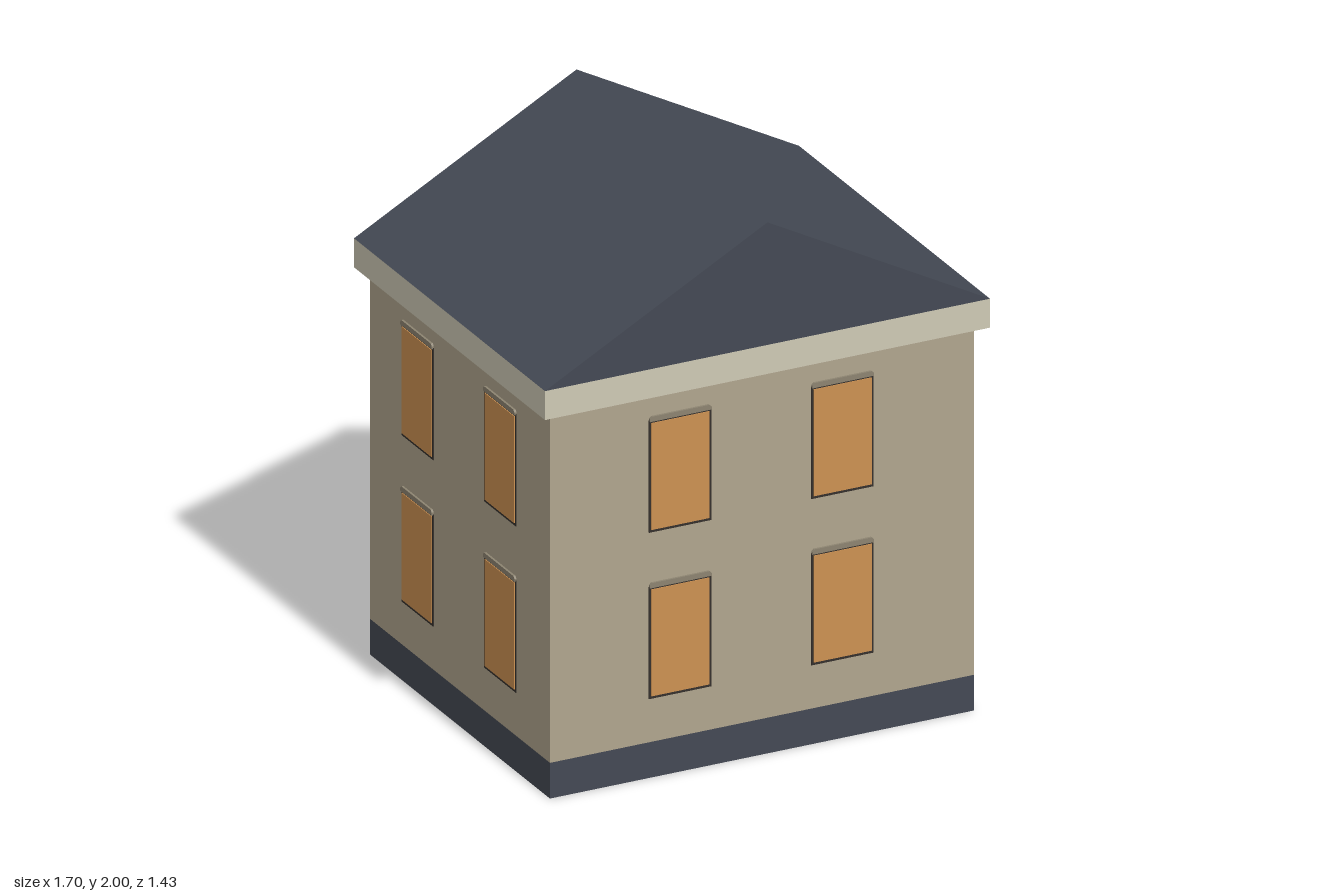
import * as THREE from 'three';

const material = (name, color) => {
  const m = new THREE.MeshStandardMaterial({ color });
  m.name = name;
  return m;
};

export function createModel() {
  const house = new THREE.Group();
  house.name = 'house';
  const stone = material('stone wall', 0xb0a58e);
  const cream = material('cream cornice', 0xcfcab5);
  const slate = material('dark slate', 0x444954);
  const amber = material('amber pane', 0xcc9152);
  const dark = material('dark frame', 0x35302c);
  const lintelTone = material('lintel stone', 0x8d8471);

  const W = 0.81, D = 0.675; // wall half width and half depth

  const add = (parent, name, geometry, mat) => {
    const mesh = new THREE.Mesh(geometry, mat);
    mesh.name = name;
    parent.add(mesh);
    return mesh;
  };
  // Box between two heights, given half sizes
  const slab = (name, hx, hz, y0, y1, mat) => {
    add(house, name, new THREE.BoxGeometry(2 * hx, y1 - y0, 2 * hz), mat)
      .position.y = (y0 + y1) / 2;
  };

  slab('plinth', W, D, 0, 0.133, slate);
  slab('walls', W, D, 0.133, 1.435, stone);
  slab('cornice', 0.85, 0.716, 1.435, 1.543, cream);

  // Gabled roof prism
  const gable = new THREE.Shape([
    new THREE.Vector2(-0.85, 1.543),
    new THREE.Vector2(0.85, 1.543),
    new THREE.Vector2(0, 2),
  ]);
  const roof = new THREE.ExtrudeGeometry(gable, { depth: 1.432, bevelEnabled: false });
  add(house, 'roof', roof.translate(0, 0, -0.716), slate);

  // Lintel with clipped upper corners
  const lintelShape = new THREE.Shape([
    new THREE.Vector2(-0.118, 0),
    new THREE.Vector2(0.118, 0),
    new THREE.Vector2(0.118, 0.011),
    new THREE.Vector2(0.11, 0.019),
    new THREE.Vector2(-0.11, 0.019),
    new THREE.Vector2(-0.118, 0.011),
  ]);
  const lintel = new THREE.ExtrudeGeometry(lintelShape, { depth: 0.008, bevelEnabled: false });
  const frame = new THREE.BoxGeometry(0.238, 0.418, 0.003);
  const pane = new THREE.BoxGeometry(0.222, 0.398, 0.006);

  // Four windows on each of the four sides
  for (let side = 0; side < 4; side++) {
    const facade = new THREE.Group();
    facade.name = ['front', 'left', 'back', 'right'][side] + 'Windows';
    facade.rotation.y = side * Math.PI / 2;
    const z = side % 2 ? W : D;
    for (const x of [-0.314, 0.306]) {
      for (const y of [0.504, 1.124]) {
        const win = new THREE.Group();
        win.name = 'window';
        win.position.set(x, y, z);
        add(win, 'windowFrame', frame, dark).position.z = 0.0015;
        add(win, 'windowPane', pane, amber).position.z = 0.003;
        add(win, 'lintel', lintel, lintelTone).position.y = 0.205;
        facade.add(win);
      }
    }
    house.add(facade);
  }
  return house;
}
